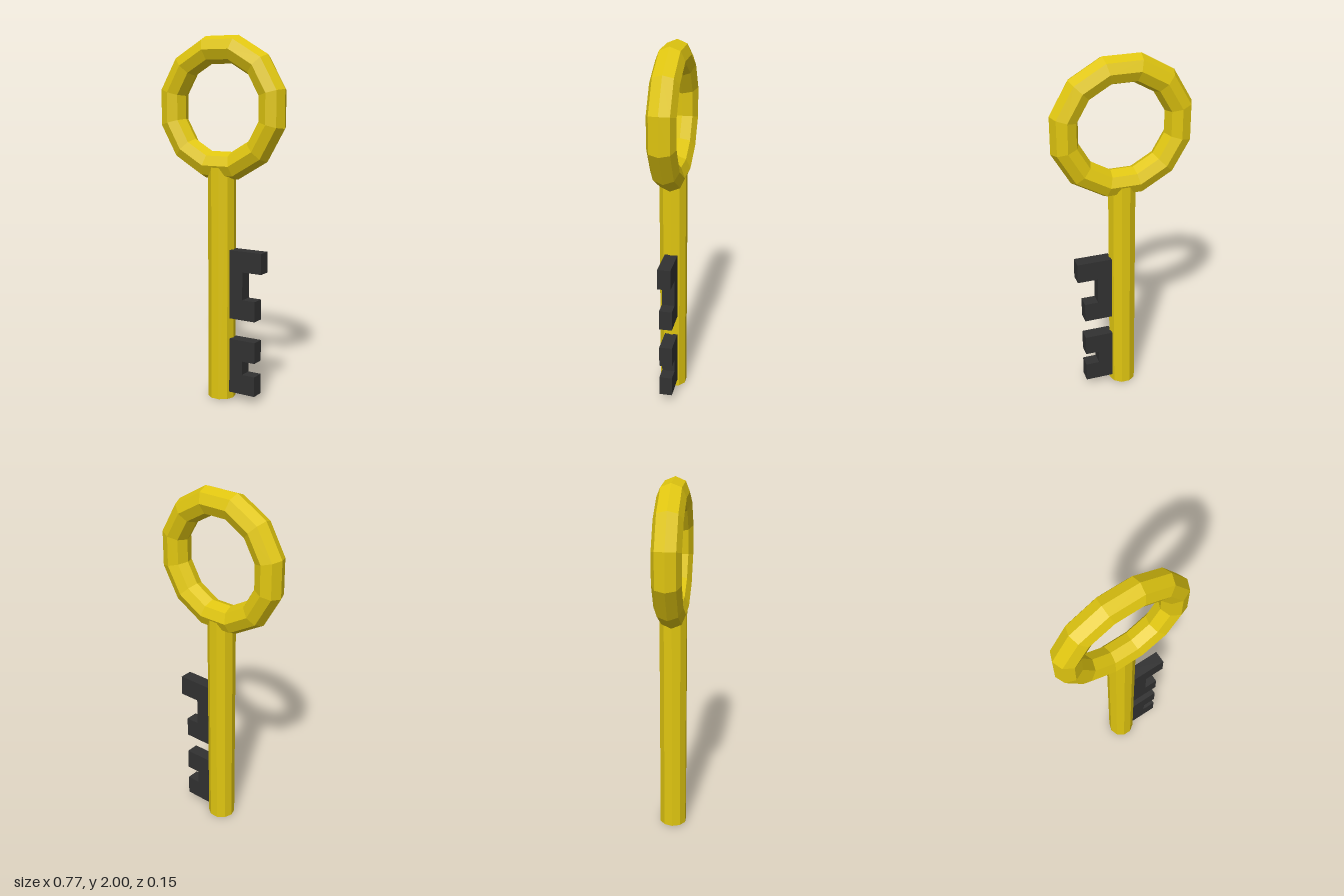
import * as THREE from 'three';

export function createModel() {
  const group = new THREE.Group();
  const gold = new THREE.MeshStandardMaterial({ name: 'gold', color: 0xe0c610, flatShading: true });
  const iron = new THREE.MeshStandardMaterial({ name: 'darkIron', color: 0x313131, flatShading: true });

  const add = (name, geometry, material) => {
    const mesh = new THREE.Mesh(geometry, material);
    mesh.name = name;
    group.add(mesh);
    return mesh;
  };

  // Ring handle: twelve segments, flat side on top
  const ring = new THREE.TorusGeometry(0.319, 0.077, 8, 12);
  ring.rotateZ(Math.PI / 12);
  add('ringHandle', ring, gold).position.y = 1.6175;

  // Ten-sided shaft, ending inside the ring, corners on the x axis
  const shaft = new THREE.CylinderGeometry(0.0765, 0.0765, 1.31, 10);
  shaft.rotateY(Math.PI / 2);
  add('shaft', shaft, gold).position.y = 0.655;

  // Notched bits on the model's left side: two prongs joined by a spine
  const addBit = (name, bottom, notchBottom, notchTop, top, lowerReach, upperReach) => {
    const inner = 0.07, spine = 0.152, depth = 0.072;
    const outline = new THREE.Shape([
      [inner, bottom], [lowerReach, bottom], [lowerReach, notchBottom], [spine, notchBottom],
      [spine, notchTop], [upperReach, notchTop], [upperReach, top], [inner, top],
    ].map(([x, y]) => new THREE.Vector2(x, y)));
    const geometry = new THREE.ExtrudeGeometry(outline, { depth, bevelEnabled: false });
    geometry.translate(0, 0, -depth / 2);
    add(name, geometry, iron);
  };
  addBit('upperBit', 0.467, 0.58, 0.735, 0.85, 0.23, 0.268);
  addBit('lowerBit', 0.043, 0.155, 0.232, 0.35, 0.23, 0.23);

  return group;
}
